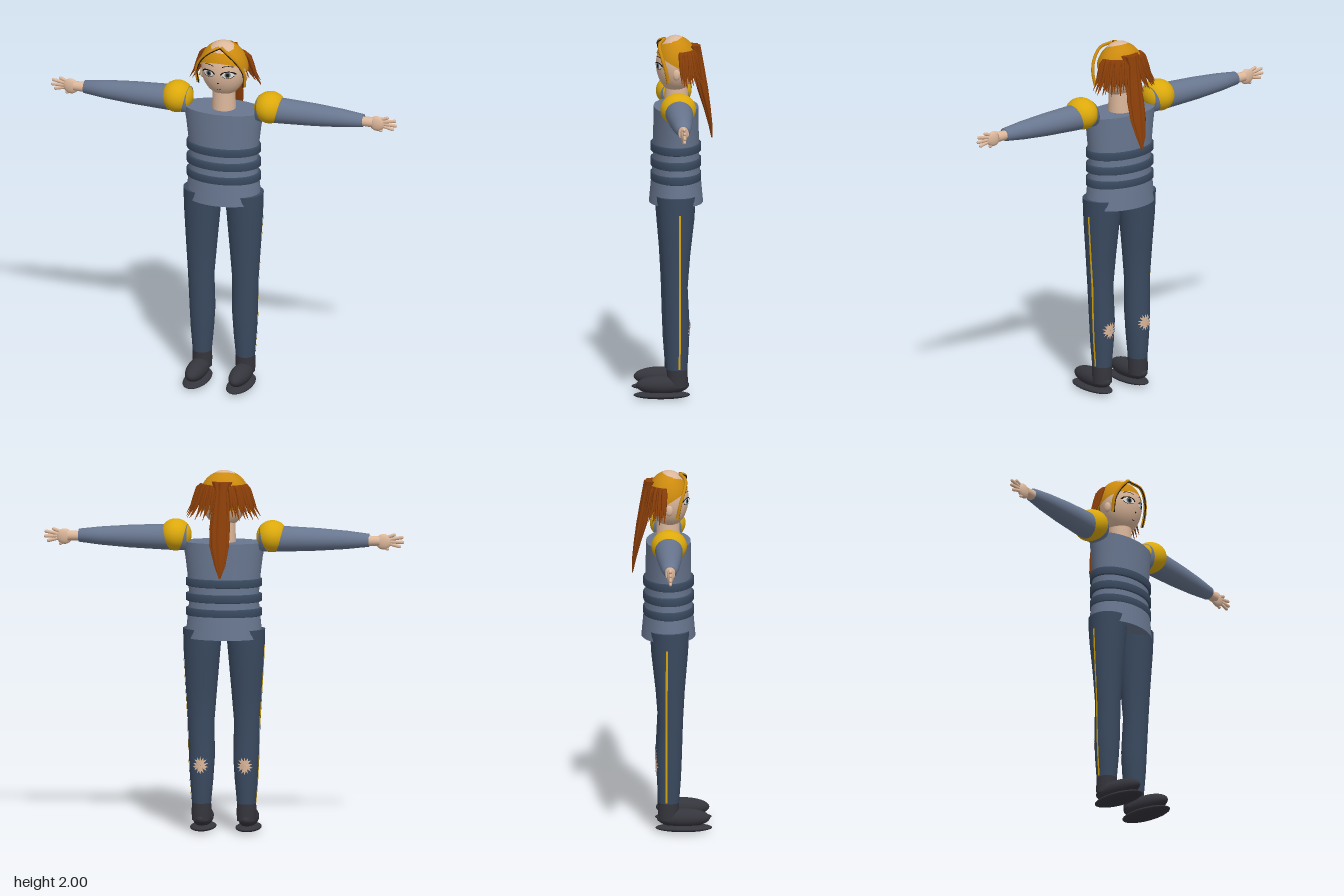
import * as THREE from 'three';

const mat = (name, color, side = THREE.FrontSide) => {
  const m = new THREE.MeshStandardMaterial({ color, side });
  m.name = name;
  return m;
};

// Smooth body through elliptical sections [y, cx, cz, rx, rz], listed upwards, with sharp end caps
function loft(sections, sides = 32, ridge = 0) {
  const pos = [], idx = [];
  const ring = ([y, cx, cz, rx, rz]) => {
    for (let j = 0; j < sides; j++) {
      const t = (j / sides) * Math.PI * 2, k = 1 + ridge * Math.cos(t * 8);
      pos.push(cx + rx * k * Math.sin(t), y, cz + rz * k * Math.cos(t));
    }
  };
  sections.forEach(ring);
  for (let i = 0; i < sections.length - 1; i++) {
    for (let j = 0; j < sides; j++) {
      const a = i * sides + j, b = i * sides + (j + 1) % sides;
      idx.push(a, b, b + sides, a, b + sides, a + sides);
    }
  }
  for (const top of [false, true]) {
    const s = top ? sections[sections.length - 1] : sections[0];
    const start = pos.length / 3;
    ring(s);
    pos.push(s[1], s[0], s[2]);
    for (let j = 0; j < sides; j++) {
      const a = start + j, b = start + (j + 1) % sides, c = start + sides;
      idx.push(...(top ? [c, a, b] : [c, b, a]));
    }
  }
  const g = new THREE.BufferGeometry();
  g.setAttribute('position', new THREE.Float32BufferAttribute(pos, 3));
  g.setIndex(idx);
  g.computeVertexNormals();
  return g;
}

// Move every vertex of a geometry by a rule (x, y, z) => [x, y, z]
function shapeBy(g, rule) {
  const p = g.attributes.position;
  for (let i = 0; i < p.count; i++) p.setXYZ(i, ...rule(p.getX(i), p.getY(i), p.getZ(i)));
  g.computeVertexNormals();
  return g;
}

const ball = (rx, ry, rz) => new THREE.SphereGeometry(1, 32, 20).scale(rx, ry, rz);

// Left leg sections; the right leg mirrors cx
const LEG = [
  [0.14, 0.124, -0.018, 0.05, 0.055], [0.3, 0.123, -0.017, 0.064, 0.066],
  [0.42, 0.122, -0.016, 0.071, 0.07], [0.62, 0.127, -0.008, 0.073, 0.068],
  [0.8, 0.125, -0.01, 0.086, 0.08], [1.0, 0.122, -0.013, 0.1, 0.1],
  [1.13, 0.118, -0.013, 0.108, 0.108],
];
function legAt(y) {
  let i = 0;
  while (i < LEG.length - 2 && y > LEG[i + 1][0]) i++;
  const t = (y - LEG[i][0]) / (LEG[i + 1][0] - LEG[i][0]);
  return LEG[i].map((v, k) => THREE.MathUtils.lerp(v, LEG[i + 1][k], t));
}

const HEAD = { y: 1.847, z: -0.015, rx: 0.125, ry: 0.157, rz: 0.107 };
const faceZ = (x, y) => HEAD.z + HEAD.rz *
  Math.sqrt(Math.max(0, 1 - (x / HEAD.rx) ** 2 - ((y - HEAD.y) / HEAD.ry) ** 2));

export function createModel() {
  const model = new THREE.Group();
  const cloth = mat('blueGreyCloth', 0x68768f);
  const navy = mat('navyCloth', 0x3a4a60);
  const leather = mat('darkLeather', 0x35353d);
  const skin = mat('skin', 0xdcb79b, THREE.DoubleSide);
  const gold = mat('gold', 0xdca90c, THREE.DoubleSide);
  const blond = mat('amberHair', 0xcc8a0e, THREE.DoubleSide);
  const auburn = mat('auburnHair', 0x8c3f08);
  const black = mat('black', 0x17140f);
  const white = mat('eyeWhite', 0xe4e2de);
  const iris = mat('irisGrey', 0x5c6a74);

  const add = (name, g, m, x = 0, y = 0, z = 0, parent = model) => {
    const mesh = new THREE.Mesh(g, m);
    mesh.name = name;
    mesh.position.set(x, y, z);
    parent.add(mesh);
    return mesh;
  };

  // Tunic with three padded bands
  add('tunic', loft([
    [1.08, 0, -0.018, 0.212, 0.148], [1.2, 0, -0.018, 0.2, 0.137], [1.3, 0, -0.018, 0.19, 0.127],
    [1.42, 0, -0.018, 0.2, 0.125], [1.52, 0, -0.018, 0.212, 0.124], [1.61, 0, -0.018, 0.227, 0.122],
  ], 48), cloth);
  for (const y of [1.225, 1.305, 1.388]) {
    add('waistBand', loft([
      [y - 0.023, 0, -0.017, 0.2, 0.13], [y - 0.019, 0, -0.017, 0.209, 0.139],
      [y + 0.019, 0, -0.017, 0.209, 0.139], [y + 0.023, 0, -0.017, 0.2, 0.13],
    ], 48), navy);
  }
  add('neck', new THREE.CylinderGeometry(0.062, 0.066, 0.16, 32), skin, 0, 1.67, -0.02);

  for (const s of [-1, 1]) {
    const side = s > 0 ? 'left' : 'right';

    // Leg, outer piping and torn calf
    add(side + 'TrouserLeg', loft(LEG.map(([y, cx, ...r]) => [y, s * cx, ...r])), navy);
    add(side + 'Piping', shapeBy(new THREE.PlaneGeometry(0.011, 0.87, 1, 24), (u, v) => {
      const y = v + 0.605, z = u - 0.03, [, cx, cz, rx, rz] = legAt(y);
      return [s * (cx + rx * Math.sqrt(1 - ((z - cz) / rz) ** 2) + 0.003), y, z];
    }), gold);
    add(side + 'CalfTear', shapeBy(new THREE.RingGeometry(0.02, 1, 28, 3).rotateY(Math.PI), (u, v) => {
      const a = Math.round((Math.atan2(v, u) / Math.PI) * 14);
      const k = a % 2 ? 1 : 0.58 + 0.12 * Math.sin(a * 2);
      const x = u * 0.044 * k, y = 0.38 + v * 0.05 * k, [, cx, cz, rx, rz] = legAt(y);
      return [s * cx + x, y, cz - rz * Math.sqrt(1 - (x / rx) ** 2) - 0.005];
    }), skin);

    // Shoe
    add(side + 'ShoeShaft', loft([
      [0.07, s * 0.124, -0.02, 0.052, 0.056], [0.11, s * 0.124, -0.02, 0.054, 0.057],
      [0.165, s * 0.124, -0.018, 0.053, 0.057],
    ]), leather);
    add(side + 'Shoe', ball(0.056, 0.052, 0.146), leather, s * 0.125, 0.078, 0.062);
    add(side + 'Sole', ball(0.07, 0.021, 0.155), leather, s * 0.125, 0.023, 0.065);

    // Shoulder guard and sleeve
    add(side + 'ShoulderGuard', ball(0.087, 0.088, 0.098), gold, s * 0.266, 1.643, -0.018);
    const sleeve = new THREE.LatheGeometry([[0, 0.2], [0.072, 0.2], [0.073, 0.26], [0.069, 0.36],
      [0.062, 0.52], [0.05, 0.68], [0.036, 0.8], [0, 0.8]].map(p => new THREE.Vector2(...p)), 32);
    sleeve.rotateZ(-s * Math.PI / 2).scale(1, 1, 1.07);
    add(side + 'Sleeve', sleeve, cloth, 0, 1.63, -0.02);

    // Hand with spread fingers
    const hand = new THREE.Group();
    hand.name = side + 'Hand';
    hand.position.set(s * 0.8, 1.627, -0.02);
    model.add(hand);
    add('wrist', new THREE.CylinderGeometry(0.026, 0.029, 0.07, 20).rotateZ(Math.PI / 2), skin, s * 0.025, 0, 0, hand);
    add('palm', ball(0.044, 0.043, 0.019), skin, s * 0.079, -0.004, 0, hand);
    const fingers = [[0.1, 0.026, 0.35, 0.07], [0.12, 0.014, 0.18, 0.1], [0.12, -0.004, -0.03, 0.105],
      [0.115, -0.02, -0.25, 0.09], [0.075, -0.034, -0.55, 0.055]];
    for (const [x, y, angle, length] of fingers) {
      const f = add('finger', new THREE.CapsuleGeometry(0.0095, length - 0.019, 4, 10), skin,
        s * (x + 0.2 * length), y, 0, hand);
      f.rotation.z = s * (angle - Math.PI / 2);
      f.scale.z = 0.85;
    }
  }

  // Head and face, with details laid on the curved face
  const head = new THREE.Group();
  head.name = 'head';
  model.add(head);
  add('skull', ball(HEAD.rx, HEAD.ry, HEAD.rz), skin, 0, HEAD.y, HEAD.z, head);
  const mark = (name, m, cx, cy, rx, ry, lift, inner = 0.01, start = 0, arc = Math.PI * 2) =>
    add(name, shapeBy(new THREE.RingGeometry(inner, 1, 24, 3, start, arc), (u, v) => {
      const x = cx + u * rx, y = cy + v * ry;
      return [x, y, faceZ(x, y) + lift];
    }), m, 0, 0, 0, head);
  for (const s of [-1, 1]) {
    mark('eyeWhite', white, s * 0.054, 1.843, 0.034, 0.017, 0.002);
    mark('iris', iris, s * 0.054, 1.844, 0.015, 0.017, 0.0035);
    mark('pupil', black, s * 0.054, 1.844, 0.008, 0.01, 0.005);
    mark('upperLash', black, s * 0.056, 1.842, 0.042, 0.024, 0.005, 0.78, 0.1, Math.PI - 0.2);
    mark('lowerLash', black, s * 0.056, 1.844, 0.034, 0.021, 0.004, 0.9, Math.PI + 0.4, Math.PI - 0.8);
    mark('eyebrow', black, s * 0.053, 1.883, 0.035, 0.013, 0.004, 0.75, 0.4, Math.PI - 0.8);
    add('ear', ball(0.013, 0.03, 0.02), skin, s * 0.122, 1.805, -0.015, head);
  }
  mark('nose', black, 0, 1.79, 0.005, 0.004, 0.003);
  mark('mouth', black, 0, 1.748, 0.012, 0.0015, 0.003);

  // Hair cap, tilted back off the forehead
  add('hairCap', new THREE.SphereGeometry(1, 40, 20, 0, Math.PI * 2, 0, Math.PI / 2)
    .rotateX(-0.4).scale(0.137, 0.153, 0.117), blond, 0, HEAD.y, -0.02, head);

  // Long front locks either side of the parting
  for (const s of [-1, 1]) {
    const lock = new THREE.CatmullRomCurve3([[0.005, 1.985, 0.045], [0.06, 1.96, 0.075], [0.112, 1.905, 0.065],
      [0.138, 1.84, 0.045], [0.133, 1.765, 0.03]].map(([x, y, z]) => new THREE.Vector3(s * x, y, z)));
    add('frontLock', new THREE.TubeGeometry(lock, 24, 0.009, 8), blond, 0, 0, 0, head);
    const line = new THREE.CatmullRomCurve3(lock.getPoints(8).map(p => p.add(new THREE.Vector3(-s * 0.006, -0.004, 0.006))));
    add('lockEdge', new THREE.TubeGeometry(line, 24, 0.003, 6), black, 0, 0, 0, head);
  }

  // Flared fringe of strands round the back of the head
  const count = 32;
  for (let i = 0; i < count; i++) {
    const a = (i / (count - 1) - 0.5) * 2.9;
    const sx = Math.sin(a), cz = -Math.cos(a), vary = 0.014 * Math.sin(i * 2.3);
    const at = (y, r, w) => [y + (r > 0.14 ? vary : 0), sx * r, -0.025 + cz * r * 0.72, w, w];
    add('backStrand', loft([at(1.755, 0.206, 0.001), at(1.8, 0.178, 0.007), at(1.85, 0.16, 0.011),
      at(1.9, 0.142, 0.012), at(1.93, 0.125, 0.008)], 6), auburn, 0, 0, 0, head);
  }

  // Ponytail
  add('ponytail', loft([
    [1.43, 0, -0.215, 0.004, 0.003], [1.5, 0, -0.207, 0.028, 0.01], [1.6, 0.005, -0.188, 0.048, 0.018],
    [1.7, 0.006, -0.165, 0.052, 0.027], [1.8, 0.003, -0.143, 0.044, 0.032], [1.9, 0, -0.123, 0.035, 0.034],
    [1.95, 0, -0.105, 0.052, 0.042],
  ], 48, 0.1), auburn, 0, 0, 0, head);

  return model;
}
